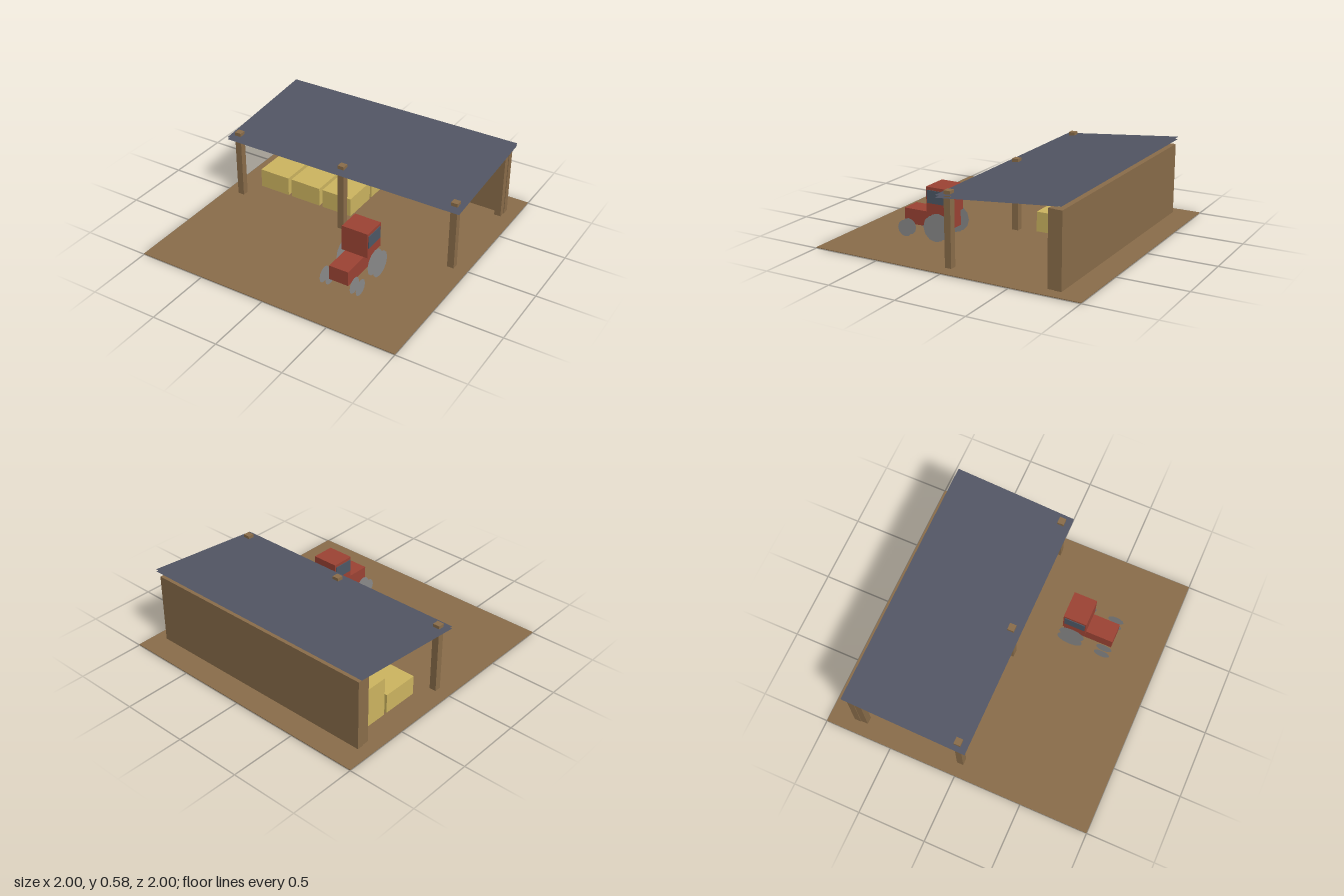
import * as THREE from 'three';

function material(name, color, side = THREE.FrontSide) {
  return new THREE.MeshStandardMaterial({ name, color, side });
}

export function createModel() {
  const wood = material('wood', 0x8a6d4a);
  const roofMetal = material('roof metal', 0x525664, THREE.DoubleSide);
  const hay = material('hay', 0xcdb560);
  const red = material('red paint', 0x9c4334);
  const tyre = material('grey tyre', 0x8a8a8a, THREE.DoubleSide);
  const glass = material('window glass', 0x4d5866);

  const model = new THREE.Group();
  model.name = 'openShed';

  // Box given by its minimum and maximum on each axis
  function box(parent, name, mat, [x0, x1], [y0, y1], [z0, z1]) {
    const mesh = new THREE.Mesh(new THREE.BoxGeometry(x1 - x0, y1 - y0, z1 - z0), mat);
    mesh.position.set((x0 + x1) / 2, (y0 + y1) / 2, (z0 + z1) / 2);
    mesh.name = name;
    parent.add(mesh);
    return mesh;
  }

  // Yard floor, just above the undersides of the bales
  box(model, 'ground', wood, [-1, 1], [0.002, 0.007], [-1, 1]);

  // Shed: posts at the front and back, wall behind
  const shed = new THREE.Group();
  shed.name = 'shed';
  model.add(shed);
  for (const x of [-0.88, 0, 0.88]) {
    box(shed, 'frontPost', wood, [x - 0.025, x + 0.025], [0.005, 0.53], [-0.024, 0.024]);
    box(shed, 'backPost', wood, [x - 0.025, x + 0.025], [0.005, 0.53], [-0.773, -0.723]);
  }
  box(shed, 'backWall', wood, [-0.91, 0.91], [0.005, 0.53], [-0.823, -0.773]);

  // Roof: two parallel sheets sloping down to the front, open at the edges
  const depth = 0.9, rise = 0.08;
  for (const [name, y] of [['roofUpperSheet', 0.54], ['roofLowerSheet', 0.523]]) {
    const sheet = new THREE.Mesh(new THREE.PlaneGeometry(1.88, Math.hypot(depth, rise)), roofMetal);
    sheet.rotation.x = -Math.PI / 2 + Math.atan2(rise, depth);
    sheet.position.set(0, y, -0.38);
    sheet.name = name;
    shed.add(sheet);
  }

  // Hay: two rows of three bales, with a long bale stacked at the back
  const bales = new THREE.Group();
  bales.name = 'hayBales';
  model.add(bales);
  for (const x of [[-0.81, -0.565], [-0.538, -0.292], [-0.265, -0.024]]) {
    for (const z of [[-0.424, -0.148], [-0.723, -0.448]]) {
      box(bales, 'bale', hay, x, [0, 0.153], z);
    }
  }
  box(bales, 'topBale', hay, [-0.81, -0.275], [0.153, 0.303], [-0.723, -0.448]);

  // Tractor
  const tractor = new THREE.Group();
  tractor.name = 'tractor';
  tractor.position.x = 0.373;
  model.add(tractor);
  box(tractor, 'body', red, [-0.073, 0.073], [0.08, 0.19], [0.28, 0.65]);
  box(tractor, 'cab', red, [-0.1, 0.1], [0.19, 0.38], [0.278, 0.449]);

  // Windows and wheels on both sides; each wheel is a pair of discs
  for (const side of [-1, 1]) {
    const pane = box(tractor, 'sideWindow', glass, [-0.003, 0.003], [0.265, 0.358], [0.288, 0.441]);
    pane.position.x = side * 0.102;
    for (const [name, r, y, z, inner, outer] of [
      ['rearWheel', 0.097, 0.102, 0.353, 0.1025, 0.142],
      ['frontWheel', 0.06, 0.065, 0.604, 0.094, 0.14],
    ]) {
      const wheel = new THREE.Group();
      wheel.name = name;
      for (const x of [inner, outer]) {
        const disc = new THREE.Mesh(new THREE.CircleGeometry(r, 12), tyre);
        disc.rotation.y = side * Math.PI / 2;
        disc.position.set(side * x, y, z);
        disc.name = name + 'Disc';
        wheel.add(disc);
      }
      tractor.add(wheel);
    }
  }
  return model;
}
